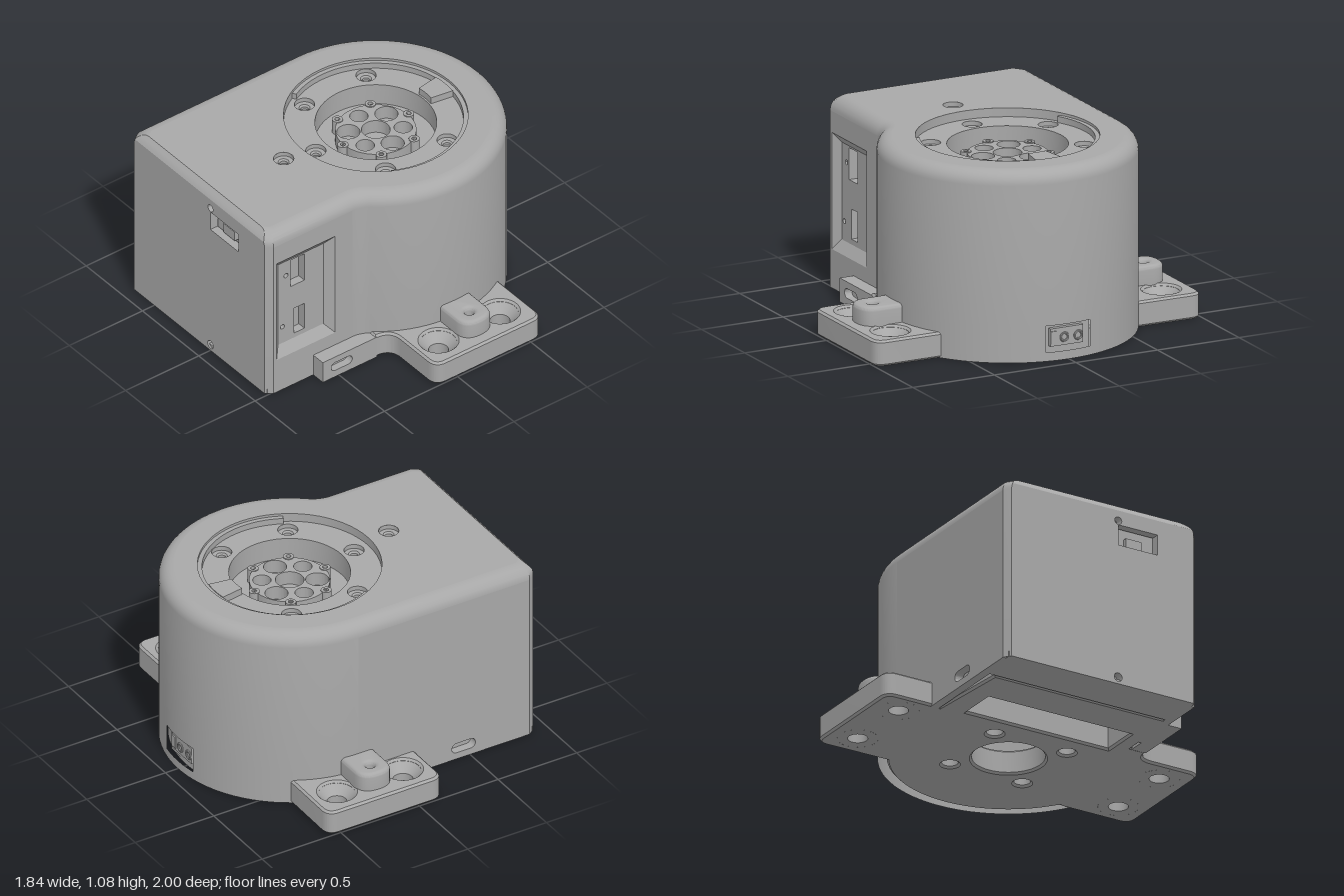
import * as THREE from 'three';
import { toCreasedNormals } from 'three/addons/utils/BufferGeometryUtils.js';

const CX = 0.21, R = 0.71, H = 1.08, FZ = 0.51; // round end centre and radius, height, front face

export function createModel() {
  const model = new THREE.Group();
  const grey = new THREE.MeshStandardMaterial({ color: 0xa8a8a8, side: THREE.DoubleSide });
  grey.name = 'grey metal';

  const add = (name, geo, x = 0, y = 0, z = 0) => {
    const mesh = new THREE.Mesh(toCreasedNormals(geo, 0.55), grey);
    mesh.name = name;
    mesh.position.set(x, y, z);
    model.add(mesh);
    return mesh;
  };
  const box = (name, w, h, d, x, y, z) => add(name, new THREE.BoxGeometry(w, h, d), x, y, z);
  const lathe = (name, pts, x, y, z, n = 32) =>
    add(name, new THREE.LatheGeometry(pts.map(p => new THREE.Vector2(...p)), n), x, y, z);

  // Shape helpers
  const poly = pts => new THREE.Shape(pts.map(p => new THREE.Vector2(...p)));
  const rect = (x0, y0, x1, y1) => poly([[x0, y0], [x1, y0], [x1, y1], [x0, y1]]);
  const circle = (x, y, r) => new THREE.Shape().absarc(x, y, r, 0, Math.PI * 2, false);
  const capsule = (x, y, half, r) => new THREE.Shape()
    .absarc(x + half, y, r, -Math.PI / 2, Math.PI / 2, false)
    .absarc(x - half, y, r, Math.PI / 2, Math.PI * 1.5, false);
  const slab = (shape, holes, depth, bevel = 0) => {
    shape.holes.push(...holes);
    const geo = new THREE.ExtrudeGeometry(shape, {
      depth: depth - 2 * bevel, curveSegments: 28, bevelEnabled: bevel > 0,
      bevelSize: bevel, bevelThickness: bevel, bevelOffset: -bevel, bevelSegments: bevel > 0.02 ? 5 : 1
    });
    return geo.translate(0, 0, bevel);
  };
  const flat = geo => geo.rotateX(-Math.PI / 2); // shape (x, -z), extruded upwards

  // Surface through closed loops of equal length
  const loft = (loops, skip = () => false) => {
    const n = loops[0].length, index = [];
    for (let i = 0; i < loops.length - 1; i++) for (let j = 0; j < n; j++) {
      if (skip(i, j)) continue;
      const k = (j + 1) % n, a = i * n + j, b = a + n, c = (i + 1) * n + k, d = i * n + k;
      index.push(a, b, c, a, c, d);
    }
    const geo = new THREE.BufferGeometry();
    geo.setAttribute('position', new THREE.Float32BufferAttribute(loops.flat(2), 3));
    geo.setIndex(index);
    geo.computeVertexNormals();
    return geo;
  };

  // Body outline, inset by d: round end, concave blend, flat front, left end, flat back
  const rho = 0.15, bz = FZ + rho;
  const bx = CX - Math.sqrt((R + rho) ** 2 - bz ** 2);
  const aEnd = Math.atan2(bz, bx - CX), port = 0.19;
  const arcs = [[-Math.PI / 2, -port, 18], [-port, port, 6], [port, aEnd, 28]];
  const outline = (d, left) => {
    const pts = [];
    for (const [a0, a1, n] of arcs) for (let i = 0; i < n; i++) {
      const a = a0 + (a1 - a0) * i / n;
      pts.push([CX + (R - d) * Math.cos(a), (R - d) * Math.sin(a)]);
    }
    for (let i = 0; i <= 10; i++) {
      const a = aEnd - Math.PI + (-Math.PI / 2 - aEnd + Math.PI) * i / 10;
      pts.push([bx + (rho + d) * Math.cos(a), bz + (rho + d) * Math.sin(a)]);
    }
    const f = FZ - d, b = -(R - d);
    pts.push([left + 0.04, f], [left, f - 0.03], [left, b + 0.03], [left + 0.04, b]);
    return pts;
  };
  const levels = [[0, 0], [0.05, 0], [0.2, 0], [1, 0]];
  for (let i = 1; i <= 7; i++) {
    const a = i / 7 * Math.PI / 2;
    levels.push([1 + 0.08 * Math.sin(a), 0.08 * (1 - Math.cos(a))]);
  }
  const loops = levels.map(([y, d]) =>
    outline(d, -0.92 + Math.max(0, y - 1.04)).map(([x, z]) => [x, y, z]));
  const n = loops[0].length, flats = [n - 5, n - 3, n - 1];
  add('bodyShell', loft(loops, (i, j) =>
    (i < 3 && flats.includes(j)) || (i === 1 && j >= 18 && j < 24)));

  // Flat walls with their cut-outs
  add('frontWall', slab(rect(-0.88, 0, bx, 1), [rect(-0.86, 0.22, -0.46, 0.88)], 0.05), 0, 0, FZ - 0.05);
  add('backWall', slab(rect(-0.88, 0, CX, 1), [capsule(-0.46, 0.07, 0.045, 0.03)], 0.05).rotateY(Math.PI)
    .scale(-1, 1, -1).rotateY(0), 0, 0, -R).scale.set(1, 1, 1);
  box('backSlotFloor', 0.2, 0.1, 0.02, -0.46, 0.07, -R + 0.06);
  const leftWall = slab(rect(-0.68, 0, 0.48, 1),
    [rect(0, 0.83, 0.25, 0.95), circle(0, 0.975, 0.022), circle(0, 0.04, 0.025)], 0.05);
  add('leftWall', leftWall.rotateY(-Math.PI / 2), -0.87, 0, 0);
  box('leftSocketFloor', 0.02, 0.2, 0.32, -0.85, 0.9, 0.12);
  box('leftSocketPlug', 0.03, 0.06, 0.1, -0.87, 0.87, 0.12);

  // Bevelled connector panel on the front
  const ring = (x0, y0, x1, y1, z) => [[x0, y0, z], [x0, y1, z], [x1, y1, z], [x1, y0, z]];
  add('panelBevel', loft([ring(-0.86, 0.22, -0.46, 0.88, FZ), ring(-0.82, 0.28, -0.51, 0.83, 0.47)]));
  add('panelFloor', slab(rect(-0.82, 0.28, -0.51, 0.83), [
    rect(-0.735, 0.64, -0.64, 0.82), rect(-0.71, 0.31, -0.64, 0.48),
    circle(-0.765, 0.73, 0.014), circle(-0.79, 0.39, 0.014)], 0.05), 0, 0, 0.42);
  box('panelBack', 0.31, 0.55, 0.02, -0.665, 0.555, 0.405);

  // Roof and the recessed output ring
  const roof = poly(outline(0.08, -0.88).map(([x, z]) => [x, -z]));
  roof.holes.push(circle(CX, 0, 0.5), circle(-0.42, 0, 0.055));
  add('roof', flat(new THREE.ShapeGeometry(roof, 32)), 0, H, 0);
  const screws = [[-0.2, 0], [0, 0.36], [0, -0.36], [0.42, 0.36], [0.42, -0.36]];
  const RY = 1.03;
  add('recessRing', flat(slab(circle(CX, 0, 0.5),
    [circle(CX, 0, 0.33), ...screws.map(([x, z]) => circle(x, -z, 0.055))], 0.04)), 0, RY - 0.04, 0);
  lathe('recessWall', [[0.5, RY - 0.04], [0.5, H]], CX, 0, 0, 64);
  lathe('rotorWell', [[0, 0.9], [0.33, 0.9], [0.33, RY]], CX, 0, 0, 64);
  const cup = (name, x, y, z, r) => lathe(name,
    [[0, -0.05], [r * 0.4, -0.05], [r * 0.4, -0.035], [r * 0.55, -0.025], [r, -0.025], [r, 0]], x, y, z, 24);
  screws.forEach(([x, z]) => cup('ringScrew', x, RY, z, 0.055));
  cup('roofScrew', -0.42, H, 0, 0.055);

  // Curved lip and stop block
  const sector = (r0, r1, a) => new THREE.Shape().absarc(0, 0, r1, -a, a, false).absarc(0, 0, r0, a, -a, true);
  add('recessLip', flat(slab(sector(0.475, 0.5, 2.05), [], 0.035)), CX, RY, 0);
  add('stopBlock', flat(slab(sector(0.34, 0.475, 0.16), [], 0.04)), CX, RY, 0);

  // Rotor with petal cut-outs and six screw lugs
  const rotorHoles = [circle(0, 0, 0.078)];
  for (let i = 0; i < 6; i++) {
    const a = Math.PI / 6 + i * Math.PI / 3;
    rotorHoles.push(circle(0.15 * Math.cos(a), 0.15 * Math.sin(a), i % 2 ? 0.05 : 0.063));
    const b = i * Math.PI / 3, x = 0.225 * Math.cos(b), z = 0.225 * Math.sin(b);
    lathe('rotorLug', [[0.03, 0.9], [0.03, 0.985], [0.014, 0.985], [0.014, 0.94], [0, 0.94]], CX + x, 0, z, 16);
  }
  add('rotor', flat(slab(circle(0, 0, 0.22), rotorHoles, 0.08)), CX, 0.9, 0);

  // Base plate with two mounting ears, drawn in (x, -z)
  const base = new THREE.Shape();
  const hole = (x, z, r) => circle(x, -z, r);
  const a0 = Math.asin(0.55 / 0.66);
  base.moveTo(-0.65, -0.5).lineTo(-0.25, -0.5).lineTo(-0.25, -0.595)
    .quadraticCurveTo(-0.15, -0.595, -0.15, -0.69).lineTo(-0.15, -0.93)
    .quadraticCurveTo(-0.15, -1, -0.08, -1).lineTo(0.51, -1)
    .quadraticCurveTo(0.58, -1, 0.58, -0.93).lineTo(0.58, -0.55)
    .absarc(CX, 0, 0.66, -a0, a0, false).lineTo(0.58, 0.93)
    .quadraticCurveTo(0.58, 1, 0.51, 1).lineTo(-0.08, 1)
    .quadraticCurveTo(-0.15, 1, -0.15, 0.93).lineTo(-0.15, 0.66).lineTo(-0.65, 0.62);
  const baseHoles = [hole(CX, 0, 0.2), rect(-0.4, -0.4, -0.17, 0.5)];
  for (const sx of [-1, 1]) for (const sz of [-1, 1]) {
    baseHoles.push(hole(CX + sx * 0.23, sz * 0.23, 0.045), hole(CX + sx * 0.21, sz * 0.83, 0.1));
    lathe('countersunkHole', [[0.112, 0], [0.055, 0], [0.055, 0.08], [0.112, 0.145]],
      CX + sx * 0.21, 0, sz * 0.83);
  }
  add('basePlate', flat(slab(base, baseHoles, 0.145, 0.012)));
  box('floorStrip', 0.25, 0.03, 1.18, -0.785, 0.015, -0.1);

  // Front tab with a slot
  add('frontTab', slab(rect(-0.61, 0, -0.24, 0.135), [capsule(-0.48, 0.07, 0.045, 0.027)], 0.09), 0, 0, 0.505);
  box('tabSlotFloor', 0.16, 0.08, 0.02, -0.48, 0.07, 0.54);

  // Rounded bosses on the ears
  for (const s of [-1, 1]) {
    const boss = new THREE.Shape();
    boss.moveTo(0.11, -s * 0.6).lineTo(0.11, -s * 0.84)
      .quadraticCurveTo(0.11, -s * 0.93, CX, -s * 0.93)
      .quadraticCurveTo(0.315, -s * 0.93, 0.315, -s * 0.84).lineTo(0.315, -s * 0.6);
    add('earBoss', flat(slab(boss, [hole(CX, s * 0.83, 0.025)], 0.2, 0.025)), 0, 0.05, 0);
    lathe('bossHoleFloor', [[0, 0.2], [0.03, 0.2]], CX, 0, s * 0.83, 20);
  }

  // Power socket in the round end
  box('socketPocket', 0.05, 0.19, 0.3, 0.845, 0.125, 0);
  box('socketBlock', 0.03, 0.1, 0.2, 0.88, 0.125, 0);
  for (const z of [0.015, -0.07]) {
    const pin = new THREE.TorusGeometry(0.022, 0.007, 8, 20).rotateY(Math.PI / 2);
    add('socketPin', pin, 0.896, 0.12, z);
  }
  box('socketKey', 0.012, 0.07, 0.04, 0.895, 0.125, 0.08);
  return model;
}
